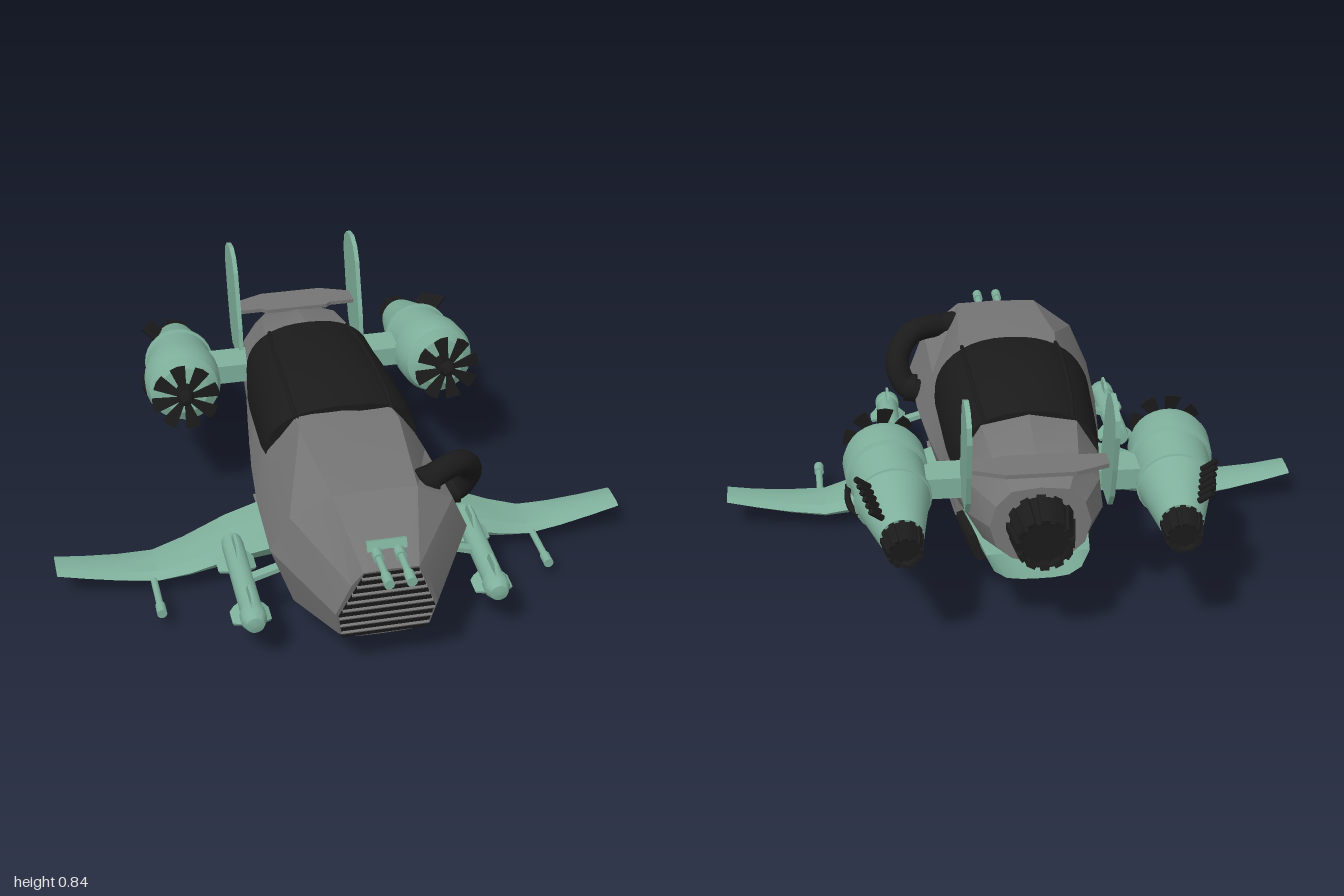
import * as THREE from 'three';
import { toCreasedNormals } from 'three/addons/utils/BufferGeometryUtils.js';

const mat = color => new THREE.MeshStandardMaterial({ color, side: THREE.DoubleSide });
const GREY = mat(0x757575), GREEN = mat(0x7fb09c), BLACK = mat(0x1b1b1b);
const V = (x, y, z) => new THREE.Vector3(x, y, z);

function add(parent, name, geo, material, pos = [0, 0, 0], rot = [0, 0, 0]) {
  const m = new THREE.Mesh(geo, material);
  m.name = name;
  m.position.set(...pos);
  m.rotation.set(...rot);
  parent.add(m);
}

function group(parent, name, pos = [0, 0, 0], rot = [0, 0, 0]) {
  const g = new THREE.Group();
  g.name = name;
  g.position.set(...pos);
  g.rotation.set(...rot);
  parent.add(g);
  return g;
}

const box = (w, h, d) => new THREE.BoxGeometry(w, h, d);

// Flat plate cut from an outline in x and y, centred on z = 0
const plate = (pts, depth) => new THREE.ExtrudeGeometry(new THREE.Shape(pts.map(p => new THREE.Vector2(...p))),
  { depth, bevelEnabled: false }).translate(0, 0, -depth / 2);

const tube = (pts, r, seg = 24, sides = 12) => new THREE.TubeGeometry(new THREE.CatmullRomCurve3(pts), seg, r, sides);

// Cylinder along z: r1 at the +z end, r2 at the -z end
const rod = (r1, r2, len, seg = 16, open = false) => new THREE.CylinderGeometry(r1, r2, len, seg, 1, open).rotateX(Math.PI / 2);

// Turned body along z from [radius, z] points listed back to front
const turned = (pts, seg = 28) => toCreasedNormals(
  new THREE.LatheGeometry(pts.map(p => new THREE.Vector2(...p)), seg).rotateX(Math.PI / 2), 0.5);

// Skin over rings of [x, y, z] with the same point count
function loft(rings, crease = 0.4, caps = true) {
  const n = rings[0].length, idx = [], last = (rings.length - 1) * n;
  for (let i = 0; i < rings.length - 1; i++)
    for (let j = 0; j < n; j++) {
      const a = i * n + j, b = i * n + (j + 1) % n;
      idx.push(a, a + n, b, a + n, b + n, b);
    }
  if (caps) for (let j = 1; j < n - 1; j++) idx.push(0, j, j + 1, last, last + j + 1, last + j);
  const g = new THREE.BufferGeometry();
  g.setAttribute('position', new THREE.Float32BufferAttribute(rings.flat(2), 3));
  g.setIndex(idx);
  return toCreasedNormals(g, crease);
}

// Closed ring from a half profile running bottom to top; z may vary by point
const mirrored = (z, half) => {
  const right = half.map(([x, y, dz = 0]) => [x, y, z + dz]);
  return [...right, ...right.slice(1, -1).reverse().map(([x, y, pz]) => [-x, y, pz])];
};

// Hull ring with an extra point that rounds the belly
const hullRing = (z, [p, q, ...rest]) =>
  mirrored(z, [p, [q[0] * .5, p[1] + (q[1] - p[1]) * .2, p[2]], q, ...rest]);

// Ribbed exhaust pointing to -z, starting at the local origin
function exhaust(parent, pos, rot, r1, r2, len) {
  const g = group(parent, 'exhaust', pos, rot);
  add(g, 'exhaustPipe', rod(r1, r2, len, 20, true), BLACK, [0, 0, -len / 2]);
  add(g, 'exhaustInside', new THREE.CircleGeometry(r2 * 1.05, 20), BLACK, [0, 0, -len * 0.7]);
  for (let i = 0; i < 12; i++) {
    const a = i / 12 * Math.PI * 2, r = (r1 + r2) / 2;
    const rib = group(g, 'exhaustRib', [Math.cos(a) * r, Math.sin(a) * r, -len / 2], [0, 0, a]);
    add(rib, 'rib', box(r1 * 0.18, r1 * 0.28, len), BLACK, [0, 0, 0], [0, Math.atan((r1 - r2) / len), 0]);
  }
}

// Barrel with a thicker muzzle, running from z0 to z1
function gun(parent, name, x, y, z0, z1) {
  const g = group(parent, name);
  add(g, 'barrel', rod(0.012, 0.012, z1 - z0, 12), GREEN, [x, y, (z0 + z1) / 2]);
  add(g, 'muzzle', rod(0.017, 0.017, 0.05, 12), GREEN, [x, y, z1 - 0.025]);
}

function hull(root) {
  const nose = [[0, .145], [.09, .148], [.15, .17], [.168, .27], [.125, .40], [.09, .455], [0, .46]]
    .map(([x, y]) => [x, y, .267 * (y - .163)]);
  add(root, 'hull', loft([
    hullRing(.722, nose),
    hullRing(.5, [[0, .003, -.04], [.135, .035, -.03], [.255, .16], [.33, .37], [.27, .51, .03], [.14, .60, .07], [0, .605, .07]]),
    hullRing(.2, [[0, .006], [.14, .038], [.25, .155], [.318, .36], [.262, .495], [.17, .63], [0, .637]]),
    hullRing(-.03, [[0, .03], [.135, .058], [.24, .165], [.295, .355], [.25, .485], [.155, .605], [0, .635]]),
    hullRing(-.28, [[0, .077], [.13, .1], [.22, .2], [.26, .35], [.235, .48], [.15, .605], [0, .635]]),
    hullRing(-.282, [[0, .2], [.12, .205], [.215, .24], [.26, .35], [.235, .48], [.15, .605], [0, .635]]),
    hullRing(-.47, [[0, .23], [.11, .235], [.19, .27], [.232, .37], [.225, .5], [.155, .615], [0, .645]]),
    hullRing(-.66, [[0, .26], [.1, .265], [.17, .31], [.215, .40], [.203, .5], [.135, .585], [0, .605]]),
    hullRing(-.79, [[0, .29], [.09, .305], [.14, .35], [.16, .42], [.14, .49], [.09, .54], [0, .55]]),
  ], 0.33), GREY);

  // Canopy arches: z, half width, base height, top height, sweep of the sides
  const arches = [[.125, .263, .472, .655, .04], [.04, .268, .466, .672, .02], [-.06, .264, .457, .682, 0], [-.17, .259, .447, .686, 0],
    [-.27, .254, .437, .682, 0], [-.36, .246, .432, .674, 0], [-.47, .228, .485, .655, 0]];
  add(root, 'canopy', loft(arches.map(([z, w, y0, y1, sweep]) => {
    const half = [[0, y0 + .03]];
    for (let i = 0; i <= 10; i++) {
      const a = i / 10 * Math.PI / 2, c = i < 10 ? Math.cos(a) ** .87 : 0;
      half.push([w * c, y0 + (y1 - y0) * Math.sin(a) ** .87, -sweep * c * c]);
    }
    return mirrored(z, half);
  }), 0.6), BLACK);
  for (const s of [-1, 1])
    add(root, 'canopyRib', tube(arches.map(([z, w, y0, y1]) => V(s * w * .62, y0 + (y1 - y0) * .84, z)), .007, 20, 6), BLACK);

  // Slanted nose grille
  const g = group(root, 'grille', [0, .15, .7195], [.261, 0, 0]);
  add(g, 'grilleBacking', plate([[-.14, .005], [.14, .005], [.158, .115], [.088, .31], [-.088, .31], [-.158, .115]], .006), BLACK);
  for (let i = 0; i < 8; i++) {
    const y = .032 + i * .037, w = y < .115 ? .14 + .018 * y / .115 : .158 - .07 * (y - .115) / .195;
    add(g, 'grilleBar', box(w * 2, .011, .012), GREY, [0, y, .003], [.4, 0, 0]);
  }

  // Underside scoop, open at the back
  add(root, 'rearScoop', loft([
    mirrored(-.27, [[0, .092], [.07, .093], [.125, .102], [.185, .145], [.215, .245], [0, .26]]),
    mirrored(-.73, [[0, .19], [.05, .191], [.1, .198], [.14, .225], [.165, .285], [0, .295]]),
  ], 0.6, false), GREEN);
  exhaust(root, [0, .42, -.785], [-.07, 0, 0], .1, .082, .125);

  // Spoiler plate with stepped front corners
  add(root, 'spoiler', plate([[.22, .69], [.13, .69], [.11, .675], [-.11, .675], [-.13, .69], [-.22, .69],
    [-.22, .76], [-.11, .805], [.11, .805], [.22, .76]], .014).rotateX(-Math.PI / 2), GREY, [0, .6, 0]);

  // Bent intake pipe on one side
  add(root, 'intakePipe', tube([V(.16, .54, .49), V(.24, .565, .455), V(.33, .558, .40), V(.378, .485, .345),
    V(.35, .40, .31), V(.28, .37, .3)], .042, 32, 14), BLACK);
  add(root, 'pipeCollar', rod(.05, .05, .06, 16), BLACK, [.185, .55, .48], [0, -1.15, 0]);
  add(root, 'pipeCollar', rod(.05, .05, .04, 16), BLACK, [.335, .393, .307], [-.5, 1.4, 0]);

  // Nose guns
  add(root, 'gunMount', box(.13, .055, .06), GREEN, [0, .485, .715], [-.4, 0, 0]);
  for (const x of [-.036, .036]) {
    gun(root, 'noseGun', x, .487, .7, .92);
    add(root, 'gunReceiver', rod(.018, .018, .1, 12), GREEN, [x, .487, .73]);
  }
}

function wing(root, s) {
  // x, middle height, thickness, front z, back z from tip to root
  const rings = [[1, .117, .014, .142, .022], [.9, .098, .024, .15, .012], [.78, .08, .036, .162, 0], [.66, .07, .046, .174, -.013],
    [.55, .094, .064, .188, -.027], [.4, .142, .095, .2, -.042], [.2, .185, .13, .21, -.055]].map(([x, y, t, f, b]) => {
    const L = f - b;
    return [[.5, -.5], [.15, -.45], [0, 0], [.15, .45], [.5, .5], [.85, .45], [1, 0], [.85, -.45]]
      .map(([u, v]) => [s * x, y + v * t, b + u * L]);
  });
  add(root, 'wing', loft(s > 0 ? rings : rings.reverse(), 0.6), GREEN);
  add(root, 'wingRoot', box(.06, .05, .29), GREY, [s * .25, .2, .08], [0, 0, -s * .3]);
  gun(root, 'wingGun', s * .675, .067, .14, .36);

  // Missile with three fins at each end
  const m = group(root, 'missile', [s * .408, .2, .42], [.05, 0, 0]);
  add(m, 'missileBody', turned([[0, -.23], [.034, -.227], [.037, -.2], [.037, .16], [.043, .165], [.043, .2], [.03, .227], [0, .235]], 18), GREEN);
  const fin = plate([[0, -.06], [.055, -.045], [.072, -.03], [.072, .03], [.03, .065], [0, .065]], .01).rotateX(Math.PI / 2);
  for (const z of [-.14, .135])
    for (let i = 0; i < 3; i++) add(m, 'missileFin', fin, GREEN, [0, 0, z], [0, 0, Math.PI / 2 + i * Math.PI * 2 / 3]);
  add(root, 'missileMount', box(.14, .016, .035), GREEN, [s * .32, .225, .41], [0, 0, -s * .3]);
}

function nacelle(root, s) {
  // Engines droop and toe in towards the back
  const g = group(root, 'engine', [s * .461, .472, -.5], [-.13, s * .075, 0]);
  add(g, 'engineBody', turned([[0, -.345], [.07, -.345], [.113, -.165], [.118, -.15], [.124, -.147], [.124, -.132], [.118, -.129],
    [.122, -.01], [.134, 0], [.134, .08], [.122, .115], [.085, .138], [0, .142]]), GREEN);
  exhaust(g, [0, 0, -.335], [0, 0, 0], .064, .05, .09);
  add(g, 'propellerHub', turned([[.03, .13], [.03, .2], [.022, .225], [0, .235]], 16), BLACK);
  const blade = plate([[.02, -.008], [.115, -.028], [.12, 0], [.115, .028], [.02, .008]], .006).rotateX(.15);
  for (let i = 0; i < 8; i++) add(g, 'propellerBlade', blade, BLACK, [0, 0, .2], [0, 0, i * Math.PI / 4 + .2]);

  // Row of exhaust stubs and the thin outer strap
  for (let i = 0; i < 6; i++) {
    const z = -.175 - i * .027, r = .127 - i * .008, a = .8;
    add(g, 'exhaustStub', new THREE.CylinderGeometry(.01, .01, .09, 8), BLACK,
      [s * Math.cos(a) * r, Math.sin(a) * r, z], [-.3, 0, s * (a - Math.PI / 2)]);
  }
  add(g, 'engineStrap', tube([V(s * .107, -.045, -.15), V(s * .127, -.045, -.11), V(s * .134, -.045, -.05), V(s * .124, -.045, .02)], .011, 14, 6), BLACK);
  add(root, 'enginePylon', box(.2, .07, .125), GREEN, [s * .28, .465, -.545]);
}

function tail(root, s) {
  const outline = [[.58, .45], [.60, .58], [.665, .775], [.70, .82], [.75, .84], [.81, .83], [.85, .795], [.856, .74], [.82, .61], [.78, .5], [.74, .45]];
  add(root, 'tailFin', plate(outline, .016).rotateY(Math.PI / 2), GREEN, [s * .225, 0, 0]);
}

export function createModel() {
  const root = new THREE.Group();
  root.name = 'gunship';
  hull(root);
  for (const s of [-1, 1]) {
    wing(root, s);
    nacelle(root, s);
    tail(root, s);
    // Louvred panel on the scoop and a strip ahead of it
    const l = group(root, 'louvrePanel', [s * .183, .178, -.405], [.14, s * .11, -s * .3]);
    add(l, 'louvreBacking', box(.03, .095, .225), BLACK);
    for (let i = 0; i < 4; i++) add(l, 'louvre', box(.008, .012, .215), BLACK, [s * .017, -.033 + i * .022, 0]);
    add(root, 'hullStrip', box(.02, .15, .045), GREY, [s * .236, .245, -.23], [0, s * .1, -s * .27]);
  }
  return root;
}
